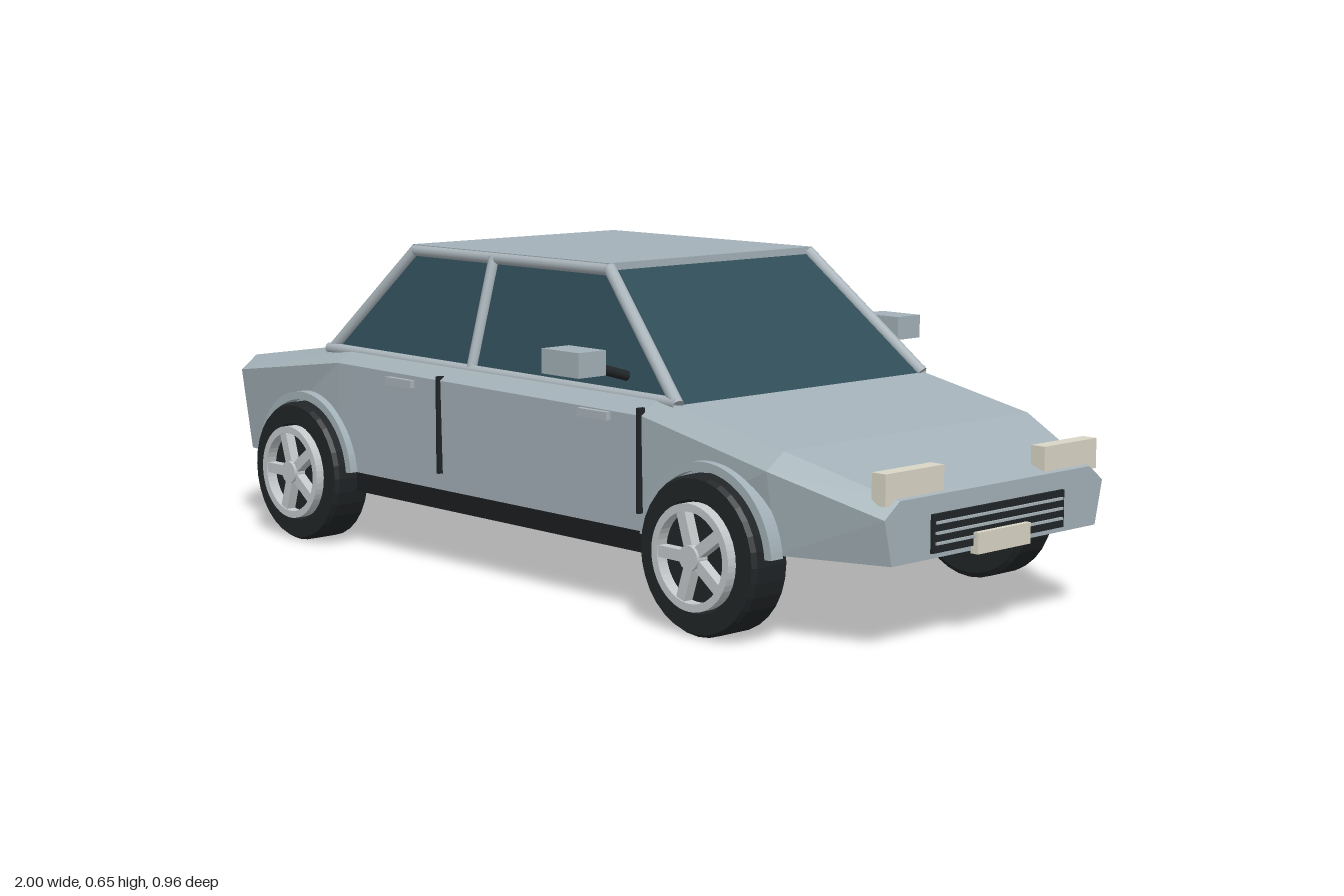
import * as THREE from 'three';

const mat = (color, flatShading = false) => new THREE.MeshStandardMaterial({ color, flatShading });
const paint = mat(0xa3b1b8, true);
const trim = mat(0xa9b4ba);
const glass = mat(0x2f4d57, true);
const black = mat(0x212527);
const floorBlack = mat(0x1c1e20);
const cream = mat(0xdad6c6);
const red = mat(0xb01c1c);
const metal = mat(0xc4c8ca);

const V = (x, y, z) => new THREE.Vector3(x, y, z);

function add(parent, name, geometry, material, x = 0, y = 0, z = 0) {
  const mesh = new THREE.Mesh(geometry, material);
  mesh.name = name;
  mesh.position.set(x, y, z);
  parent.add(mesh);
  return mesh;
}

// Box given by its lower and upper limits
function block(parent, name, material, x0, x1, y0, y1, z0, z1) {
  return add(parent, name, new THREE.BoxGeometry(x1 - x0, y1 - y0, z1 - z0), material,
    (x0 + x1) / 2, (y0 + y1) / 2, (z0 + z1) / 2);
}

// Round bar between two points
function bar(parent, name, material, a, b, r) {
  const mesh = add(parent, name, new THREE.CylinderGeometry(r, r, a.distanceTo(b), 10), material);
  mesh.position.copy(a).lerp(b, 0.5);
  mesh.quaternion.setFromUnitVectors(V(0, 1, 0), b.clone().sub(a).normalize());
  return mesh;
}

// Faceted skin through closed rings of points, capped at both ends
function loft(rings) {
  const pos = [];
  const tri = (...points) => points.forEach((p) => pos.push(p.x, p.y, p.z));
  const n = rings[0].length;
  for (let i = 0; i + 1 < rings.length; i++) {
    for (let j = 0; j < n; j++) {
      const k = (j + 1) % n;
      tri(rings[i][j], rings[i + 1][j], rings[i + 1][k]);
      tri(rings[i][j], rings[i + 1][k], rings[i][k]);
    }
  }
  const first = rings[0], last = rings[rings.length - 1];
  for (let j = 1; j + 1 < n; j++) {
    tri(first[0], first[j], first[j + 1]);
    tri(last[0], last[j + 1], last[j]);
  }
  const g = new THREE.BufferGeometry();
  g.setAttribute('position', new THREE.Float32BufferAttribute(pos, 3));
  g.computeVertexNormals();
  return g;
}

function createBody(car) {
  // x, shoulder height, top height, half widths at bottom, shoulder and top
  const stations = [
    [-0.975, 0.24, 0.255, 0.29, 0.305, 0.29],
    [-0.87, 0.345, 0.375, 0.365, 0.39, 0.35],
    [-0.5, 0.395, 0.418, 0.39, 0.395, 0.355],
    [0.45, 0.385, 0.413, 0.39, 0.395, 0.355],
    [0.77, 0.32, 0.352, 0.365, 0.39, 0.345],
    [0.98, 0.25, 0.28, 0.29, 0.31, 0.27],
  ];
  const rings = stations.map(([x, s, t, bz, sz, tz]) => [
    V(x, 0.165, bz), V(x, s, sz), V(x, t, tz), V(x, t, -tz), V(x, s, -sz), V(x, 0.165, -bz),
  ]);
  add(car, 'body', loft(rings), paint);
  block(car, 'chassis', floorBlack, -0.62, 0.63, 0.12, 0.175, -0.375, 0.375);
}

function createCabin(car) {
  const rect = (x0, x1, y, z) => [V(x1, y, z), V(x0, y, z), V(x0, y, -z), V(x1, y, -z)];
  const low = rect(-0.595, 0.495, 0.405, 0.345);
  const high = rect(-0.37, 0.235, 0.64, 0.28);
  add(car, 'windows', loft([low, high]), glass);
  block(car, 'roof', paint, -0.375, 0.24, 0.632, 0.65, -0.286, 0.286);
  // Corner pillars
  low.forEach((p, i) => bar(car, 'cornerPillar', trim, p, high[i], 0.013));
  for (const s of [1, -1]) {
    bar(car, 'middlePillar', trim, V(-0.11, 0.41, s * 0.346), V(-0.11, 0.64, s * 0.283), 0.012);
    bar(car, 'windowSill', trim, V(-0.595, 0.415, s * 0.347), V(0.495, 0.408, s * 0.347), 0.012);
    bar(car, 'roofRail', trim, V(-0.37, 0.637, s * 0.282), V(0.235, 0.637, s * 0.282), 0.012);
  }
}

function createSideDetails(car, s) {
  const z = (a, b) => (s > 0 ? [a, b] : [-b, -a]);
  // Door gaps and handles
  for (const x of [-0.155, 0.445]) {
    block(car, 'doorGap', black, x - 0.004, x + 0.004, 0.2, 0.4, ...z(0.385, 0.401));
  }
  for (const x of [-0.278, 0.322]) {
    block(car, 'doorHandle', trim, x - 0.042, x + 0.042, 0.368, 0.384, ...z(0.385, 0.407));
  }
  // Wing mirror
  bar(car, 'mirrorArm', black, V(0.345, 0.445, s * 0.335), V(0.33, 0.472, s * 0.425), 0.01);
  block(car, 'mirror', paint, 0.265, 0.37, 0.455, 0.503, ...z(0.412, 0.481));
  // Lamps
  block(car, 'headlight', cream, 0.94, 0.972, 0.272, 0.33, ...z(0.143, 0.3));
  block(car, 'tailLight', red, -0.958, -0.925, 0.275, 0.33, ...z(0.155, 0.293));
}

function createEnds(car) {
  block(car, 'grille', black, 0.97, 0.986, 0.175, 0.246, -0.187, 0.187);
  for (let i = 0; i < 3; i++) {
    const y = 0.19 + i * 0.019;
    block(car, 'grilleSlat', trim, 0.98, 0.99, y, y + 0.005, -0.18, 0.18);
  }
  block(car, 'frontPlate', cream, 0.98, 0.997, 0.16, 0.2, -0.075, 0.075);
  block(car, 'rearPlate', trim, -0.985, -0.97, 0.175, 0.215, -0.078, 0.078);
  bar(car, 'exhaust', metal, V(-1, 0.147, 0.22), V(-0.85, 0.147, 0.22), 0.022);
}

// Wheel with its outer face towards +z
function createWheel() {
  const wheel = new THREE.Group();
  wheel.name = 'wheel';
  const profile = [[0, -0.045], [0.14, -0.045], [0.15, -0.038], [0.15, 0.036], [0.144, 0.045],
    [0.105, 0.045], [0.1, 0.036], [0, 0.036]].map(([r, h]) => new THREE.Vector2(r, h));
  add(wheel, 'tyre', new THREE.LatheGeometry(profile, 32), mat(0x212527, true)).rotation.x = Math.PI / 2;

  const ring = new THREE.Shape().absarc(0, 0, 0.1, 0, Math.PI * 2);
  ring.holes.push(new THREE.Path().absarc(0, 0, 0.085, 0, Math.PI * 2, true));
  add(wheel, 'rim', new THREE.ExtrudeGeometry(ring, { depth: 0.026, bevelEnabled: false, curveSegments: 24 }),
    metal, 0, 0, 0.034);
  for (let i = 0; i < 5; i++) {
    const a = Math.PI + i * Math.PI * 0.4;
    const spoke = add(wheel, 'spoke', new THREE.BoxGeometry(0.088, 0.022, 0.022), metal,
      0.045 * Math.cos(a), 0.045 * Math.sin(a), 0.046);
    spoke.rotation.z = a;
  }
  add(wheel, 'hub', new THREE.CylinderGeometry(0.024, 0.024, 0.03, 16), metal, 0, 0, 0.048).rotation.x = Math.PI / 2;
  return wheel;
}

function createArch() {
  const a = 0.09;
  const shape = new THREE.Shape().absarc(0, 0, 0.172, a, Math.PI - a, false);
  shape.absarc(0, 0, 0.155, Math.PI - a, a, true);
  return new THREE.ExtrudeGeometry(shape, { depth: 0.03, bevelEnabled: false, curveSegments: 20 });
}

export function createModel() {
  const car = new THREE.Group();
  car.name = 'car';
  createBody(car);
  createCabin(car);
  createEnds(car);
  const arch = createArch();
  for (const s of [1, -1]) {
    createSideDetails(car, s);
    for (const x of [-0.615, 0.63]) {
      const wheel = createWheel();
      wheel.position.set(x, 0.15, s * 0.385);
      if (s < 0) wheel.rotation.y = Math.PI;
      car.add(wheel);
      add(car, 'wheelArch', arch, paint, x, 0.15, s > 0 ? 0.378 : -0.408);
    }
  }
  return car;
}
